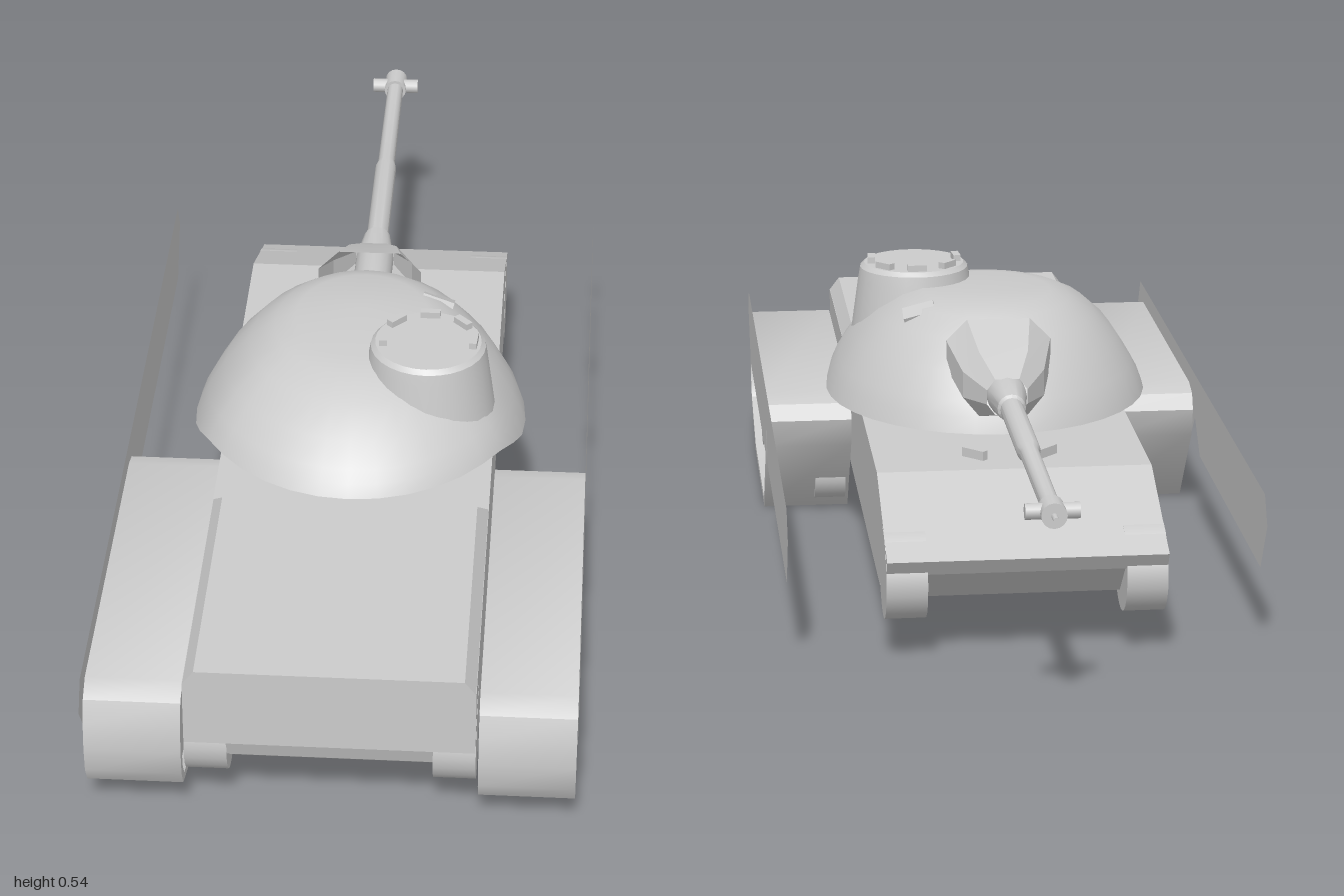
import * as THREE from 'three';
import { toCreasedNormals } from 'three/addons/utils/BufferGeometryUtils.js';

export function createModel() {
  const model = new THREE.Group();
  const grey = new THREE.MeshStandardMaterial({ color: 0xcccccc });
  const thin = new THREE.MeshStandardMaterial({ color: 0xcccccc, side: THREE.DoubleSide });

  const add = (name, geo, x = 0, y = 0, z = 0, mat = grey) => {
    const mesh = new THREE.Mesh(geo, mat);
    mesh.name = name;
    mesh.position.set(x, y, z);
    model.add(mesh);
    return mesh;
  };
  const toShape = pts => new THREE.Shape(pts.map(p => new THREE.Vector2(...p)));
  // Side profile in (z, y), extruded across x from x0 to x1
  const slab = (shape, x0, x1) => new THREE.ExtrudeGeometry(shape, { depth: x1 - x0, bevelEnabled: false })
    .rotateY(-Math.PI / 2).translate(x1, 0, 0);
  // Skin over rings that hold the same number of points
  const loft = (rings, crease) => {
    const n = rings[0].length, index = [];
    for (let k = 0; k < rings.length - 1; k++) for (let i = 0; i < n; i++) {
      const j = (i + 1) % n, a = k * n + i, b = k * n + j;
      index.push(a, b, b + n, a, b + n, a + n);
    }
    const geo = new THREE.BufferGeometry();
    geo.setAttribute('position', new THREE.Float32BufferAttribute(rings.flat(2), 3));
    geo.setIndex(index);
    return toCreasedNormals(geo, crease);
  };
  const axle = (r, w, sides = 24) => new THREE.CylinderGeometry(r, r, w, sides).rotateZ(Math.PI / 2);

  // Hull: full-width body, with a narrower lower tub reaching both ends
  add('hullBody', slab(toShape([[0.97, 0.295], [0.97, 0.17], [0.8, 0.17], [0.76, 0.1], [-0.43, 0.1],
    [-0.45, 0.17], [-0.59, 0.17], [-0.61, 0.2], [-0.38, 0.295]]), -0.248, 0.248));
  add('lowerHull', slab(toShape([[0.97, 0.2], [0.97, 0.17], [0.96, 0.14], [0.93, 0.115], [0.88, 0.1],
    [-0.5, 0.1], [-0.61, 0.2]]), -0.176, 0.176));

  // Raised engine deck with chamfered sides and leading edge
  const deck = new THREE.BoxGeometry(0.496, 0.026, 0.54).toNonIndexed();
  const dp = deck.attributes.position;
  for (let i = 0; i < dp.count; i++) if (dp.getY(i) > 0) {
    dp.setX(i, dp.getX(i) * 0.92);
    if (dp.getZ(i) < 0) dp.setZ(i, -0.24);
  }
  deck.computeVertexNormals();
  add('engineDeck', deck, 0, 0.307, 0.7);

  // Running gear on both sides
  const trackPts = [[0.975, 0.15], [0.97, 0.2], [0.955, 0.24], [0.92, 0.262], [0.28, 0.262], [0.24, 0.25],
    [0.225, 0.22], [0.24, 0.165], [0.38, 0], [0.77, 0], [0.95, 0.065], [0.97, 0.1]];
  const skirtPts = [[1, 0.245], [0.97, 0.295], [-0.58, 0.295], [-0.61, 0.245], [-0.55, 0.15], [0.14, 0.15],
    [0.205, 0.21], [0.265, 0.15], [0.93, 0.15]];
  for (const s of [-1, 1]) {
    const side = s > 0 ? 'left' : 'right';
    const loop = toShape(trackPts);
    loop.holes.push(new THREE.Path(trackPts.map(([z, y]) =>
      new THREE.Vector2(0.6 + (z - 0.6) * 0.95, 0.13 + (y - 0.13) * 0.88))));
    add(side + 'Track', toCreasedNormals(slab(loop, -0.083, 0.083), 0.6), s * 0.336);
    add(side + 'Skirt', new THREE.ShapeGeometry(toShape(skirtPts)).rotateY(-Math.PI / 2), s * 0.42, 0, 0, thin);
    for (const z of [0.74, 0.585, 0.435]) {
      add(side + 'RoadWheel', axle(0.06, 0.06), s * 0.375, 0.085, z);
      add(side + 'InnerRoadWheel', axle(0.06, 0.06), s * 0.29, 0.08, z - 0.06);
    }
    add(side + 'Sprocket', axle(0.07, 0.14), s * 0.33, 0.15, 0.88);
    // End drums set into the hull corners
    for (const z of [0.885, -0.515]) add(side + 'EndDrum', axle(0.082, 0.073), s * 0.212, 0.152, z);
    // Light guards on the front deck
    add(side + 'LightGuard', new THREE.BoxGeometry(0.05, 0.018, 0.012), s * 0.065, 0.303, -0.305)
      .rotation.y = -s * Math.PI / 4;
  }

  // Turret dome: oval rings [scale, height], with the rim lifting at the bustle
  const levels = [[0, -1], [0.72, -1], [1, 0], [0.965, 0.15], [0.92, 0.28], [0.82, 0.53], [0.67, 0.78],
    [0.52, 0.94], [0.4, 1], [0, 1]];
  const dome = levels.map(([k, h]) => Array.from({ length: 36 }, (_, i) => {
    const a = i / 36 * Math.PI * 2;
    const rimZ = 0.155 + 0.35 * Math.cos(a);
    const rim = 0.305 + 0.053 * THREE.MathUtils.smoothstep(rimZ, 0.17, 0.36);
    const y = h < 0 ? 0.303 : rim + (0.502 - rim) * h;
    return [0.305 * k * Math.sin(a), y, 0.1 + 0.055 * k + 0.35 * k * Math.cos(a)];
  }));
  add('turret', loft(dome, 0.45));

  // Commander's cupola with a half ring of vision blocks
  const cupola = [[0.125, 0.38], [0.108, 0.5], [0.104, 0.522], [0.096, 0.53], [0, 0.53]];
  add('cupola', toCreasedNormals(new THREE.LatheGeometry(cupola.map(p => new THREE.Vector2(...p)), 28), 0.5),
    0.128, 0, 0.245);
  for (let i = 0; i < 5; i++) {
    const a = (i - 2) * 0.82;
    add('visionBlock', new THREE.BoxGeometry(0.036, 0.016, 0.014),
      0.128 + 0.082 * Math.sin(a), 0.534, 0.245 - 0.082 * Math.cos(a)).rotation.y = -a;
  }
  const scope = add('periscope', new THREE.BoxGeometry(0.06, 0.035, 0.035), 0.133, 0.473, 0.035);
  scope.rotation.set(-0.4, 0, -0.3);

  // Gun mantlet: chamfered box sections, [z, half width, bottom, top]
  const mantlet = [[-0.1, 0.097, 0.37, 0.5], [-0.19, 0.075, 0.34, 0.462], [-0.255, 0.037, 0.36, 0.427]]
    .map(([z, w, lo, hi]) => {
      const c = (lo + hi) / 2, h = (hi - lo) / 2;
      return [[1, 0.4], [1, -0.4], [0.6, -1], [-0.6, -1], [-1, -0.4], [-1, 0.4], [-0.6, 1], [0.6, 1]]
        .map(([u, v]) => [u * w, c + v * h, z]);
    });
  add('mantlet', loft(mantlet, 0.2), 0, 0, 0, thin);

  // Barrel: [radius, distance forward], tipped by a crosswise muzzle brake
  const barrel = [[0, 0.1], [0.036, 0.1], [0.036, 0.255], [0.026, 0.33], [0.021, 0.335], [0.021, 0.6],
    [0.017, 0.62], [0.016, 0.965], [0.005, 0.97], [0.005, 1], [0, 1]];
  add('barrel', toCreasedNormals(new THREE.LatheGeometry(barrel.map(p => new THREE.Vector2(...p)), 16)
    .rotateX(-Math.PI / 2), 0.5), 0, 0.393, 0);
  add('muzzleBrake', axle(0.014, 0.092, 12), 0, 0.393, -0.945);
  add('muzzleCollar', new THREE.CylinderGeometry(0.022, 0.022, 0.05, 16).rotateX(Math.PI / 2), 0, 0.393, -0.95);

  return model;
}
